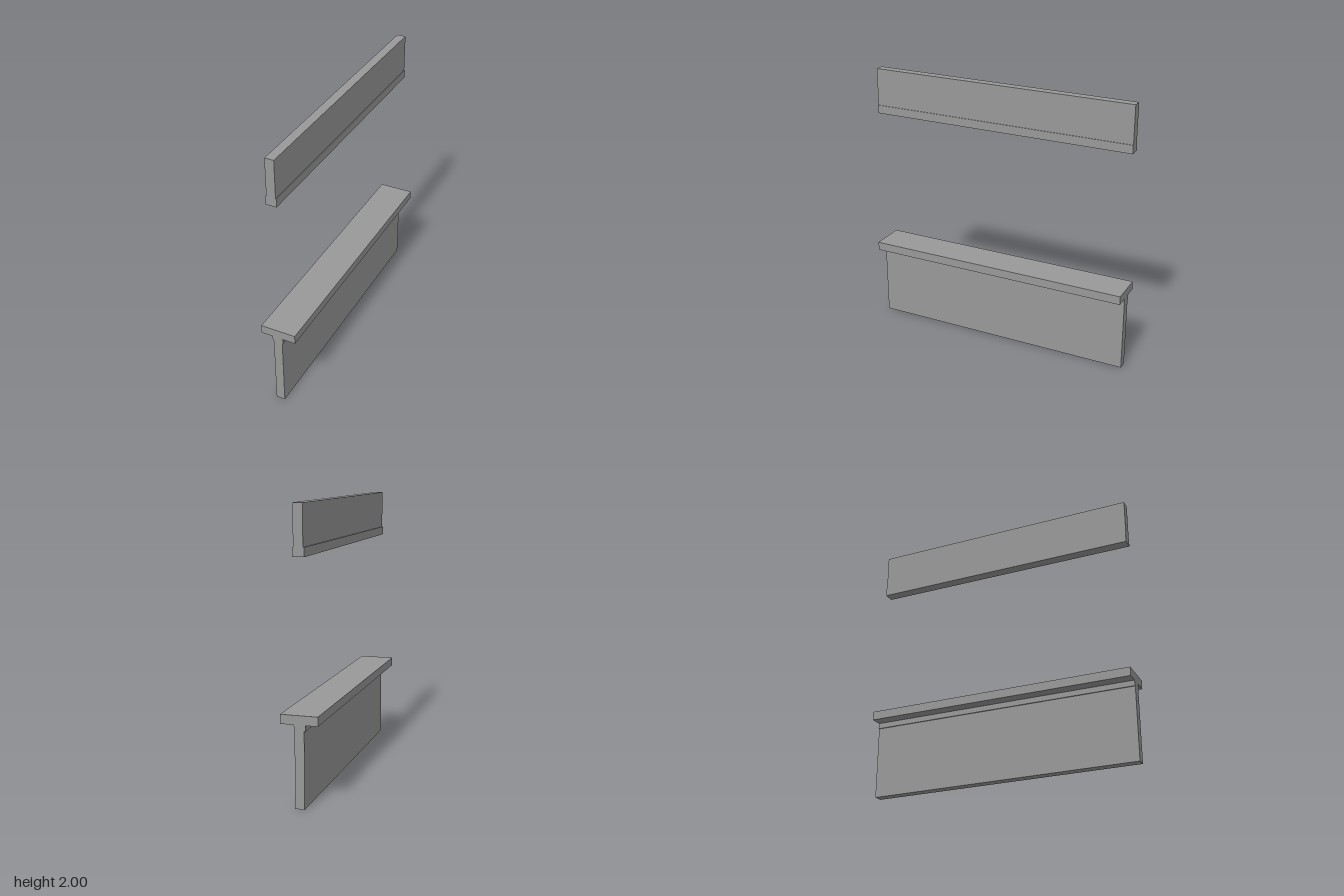
import * as THREE from 'three';

export function createModel() {
  const group = new THREE.Group();
  const grey = new THREE.MeshStandardMaterial({ color: 0x999999 });
  grey.name = 'grey';

  // Each part runs the full length in z; its cross-section is given by x and y limits.
  function addBar(name, x0, x1, y0, y1) {
    const bar = new THREE.Mesh(new THREE.BoxGeometry(x1 - x0, y1 - y0, 2), grey);
    bar.position.set((x0 + x1) / 2, (y0 + y1) / 2, 0);
    bar.name = name;
    group.add(bar);
  }

  // Low wall with a trim under a wide sill
  addBar('lowerWall', -0.036, 0.03, 0, 0.53);
  addBar('sillTrim', -0.044, 0.035, 0.53, 0.57);
  addBar('sill', -0.13, 0.13, 0.57, 0.634);

  // Wall above the opening with a trim along its lower edge
  addBar('upperTrim', -0.044, 0.035, 1.66, 1.722);
  addBar('upperWall', -0.036, 0.03, 1.722, 2);

  return group;
}
